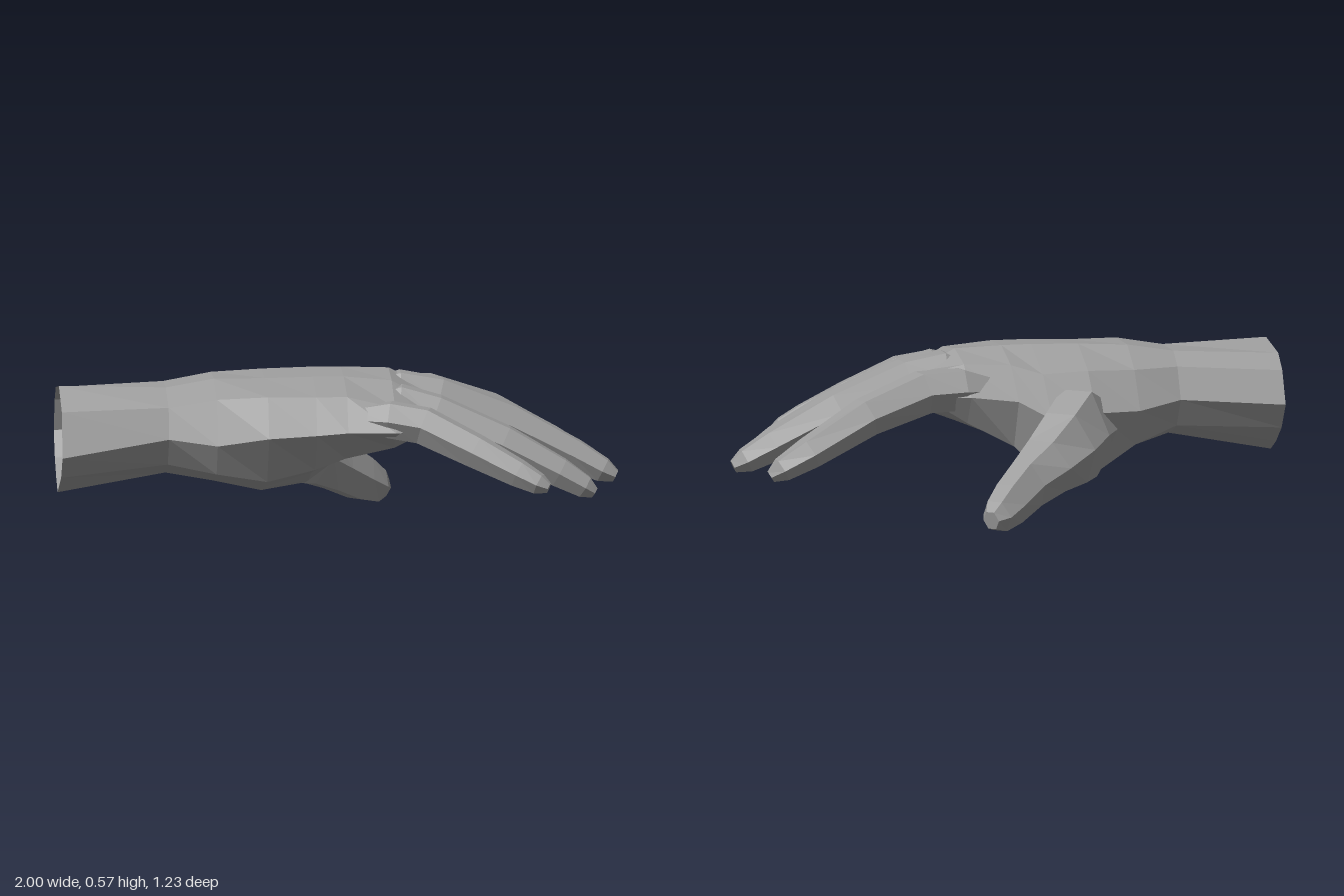
import * as THREE from 'three';

const V = (x, y, z) => new THREE.Vector3(x, y, z);
const material = new THREE.MeshStandardMaterial({ color: 0x9e9e9e, flatShading: true, side: THREE.DoubleSide });

// Skin a row of rings with faceted quads and close the far end
function loft(name, rings) {
  const pos = [];
  const tri = (...pts) => pts.forEach((p) => pos.push(p.x, p.y, p.z));
  const n = rings[0].length;
  const last = rings[rings.length - 1];
  const centre = last.reduce((s, p) => s.add(p), V(0, 0, 0)).divideScalar(n);
  for (let j = 0; j < n; j++) {
    const k = (j + 1) % n;
    for (let i = 0; i < rings.length - 1; i++) {
      const p = rings[i], q = rings[i + 1];
      tri(p[j], p[k], q[k]);
      tri(p[j], q[k], q[j]);
    }
    tri(centre, last[j], last[k]);
  }
  const geo = new THREE.BufferGeometry();
  geo.setAttribute('position', new THREE.Float32BufferAttribute(pos, 3));
  geo.computeVertexNormals();
  const mesh = new THREE.Mesh(geo, material);
  mesh.name = name;
  return mesh;
}

// Six-sided finger along a path, with a half width and half height at each point
function digit(name, path, widths, heights) {
  const pts = path.map((p) => V(...p));
  const rings = pts.map((p, i) => {
    const dir = pts[Math.min(i + 1, pts.length - 1)].clone().sub(pts[Math.max(i - 1, 0)]).normalize();
    const side = dir.clone().cross(V(0, 1, 0)).normalize();
    const up = side.clone().cross(dir);
    return Array.from({ length: 6 }, (_, j) => {
      const t = (j / 6) * Math.PI * 2;
      return p.clone()
        .addScaledVector(side, -Math.cos(t) * widths[i])
        .addScaledVector(up, Math.sin(t) * heights[i]);
    });
  });
  return loft(name, rings);
}

// Palm ring from eight z,y corners, rounded on the thumb side and underneath
function palmRing([x, ...c]) {
  const p = Array.from({ length: 8 }, (_, j) => {
    const z = c[j * 2];
    return V(x > 0.3 ? x - Math.max(0, z - 0.15) * 0.25 : x, c[j * 2 + 1], z);
  });
  const shoulder = p[0].clone().lerp(p[1], 0.45).add(V(0, 0.04, 0));
  const hollow = p[6].clone().lerp(p[7], 0.5).add(V(0, -0.01, 0));
  return [p[0], shoulder, ...p.slice(1, 7), hollow, p[7]];
}

export function createModel() {
  const hand = new THREE.Group();
  hand.name = 'hand';

  // Wrist (open end) and palm: x, then corners from the thumb side over the top and back underneath
  hand.add(loft('palmAndWrist', [
    [-1.00, -.06, .34, .05, .51, .23, .54, .40, .47, .44, .31, .36, .23, .16, .15, .00, .25],
    [-0.62, -.05, .37, .06, .53, .22, .53, .38, .48, .41, .37, .33, .27, .18, .22, .01, .27],
    [-0.45, -.14, .35, .05, .56, .22, .56, .40, .51, .45, .35, .38, .24, .18, .19, -.07, .22],
    [-0.27, -.22, .36, .05, .57, .22, .56, .42, .52, .49, .38, .37, .21, .16, .16, -.13, .12],
    [-0.10, -.26, .35, .05, .575, .23, .565, .43, .52, .49, .39, .36, .25, .15, .21, -.17, .13],
    [0.01, -.21, .41, .05, .575, .23, .565, .43, .52, .50, .40, .36, .29, .15, .27, -.14, .24],
    [0.18, -.20, .43, .05, .57, .23, .55, .43, .48, .515, .40, .38, .33, .16, .32, -.14, .33],
    [0.34, -.17, .43, .05, .49, .23, .47, .40, .44, .47, .40, .38, .38, .16, .38, -.12, .39],
  ].map(palmRing)));

  // Four fingers, rooted inside the palm and drooping towards the tips
  const widths = [.05, .085, .077, .069, .059, .049, .026];
  const heights = [.05, .082, .083, .074, .06, .046, .023];
  const fingers = {
    indexFinger: [1, [[.08, .44, -.10], [.20, .45, -.115], [.34, .445, -.13], [.56, .375, -.19],
      [.78, .26, -.235], [.88, .205, -.238], [.92, .18, -.232]]],
    middleFinger: [1.03, [[.10, .46, .06], [.22, .485, .06], [.35, .46, .06], [.61, .365, .04],
      [.84, .25, .043], [.94, .197, .052], [.985, .175, .056]]],
    ringFinger: [0.97, [[.10, .45, .24], [.21, .465, .248], [.33, .43, .262], [.57, .33, .279],
      [.77, .225, .29], [.86, .172, .287], [.895, .15, .285]]],
    littleFinger: [0.87, [[.04, .44, .42], [.16, .44, .44], [.28, .42, .458], [.46, .335, .512],
      [.61, .26, .557], [.68, .225, .577], [.715, .21, .585]]],
  };
  for (const [name, [size, path]] of Object.entries(fingers)) {
    hand.add(digit(name, path, widths.map((w) => w * size), heights.map((h) => h * size)));
  }

  // Thumb, spreading outwards and down from a broad base
  hand.add(digit('thumb',
    [[-.34, .29, -.05], [-.22, .285, -.17], [-.15, .25, -.27], [-.06, .20, -.345],
      [.03, .15, -.42], [.115, .095, -.50], [.175, .06, -.56], [.205, .05, -.59]],
    [.07, .12, .115, .105, .075, .068, .058, .032],
    [.09, .18, .155, .115, .10, .088, .066, .036]));

  return hand;
}
